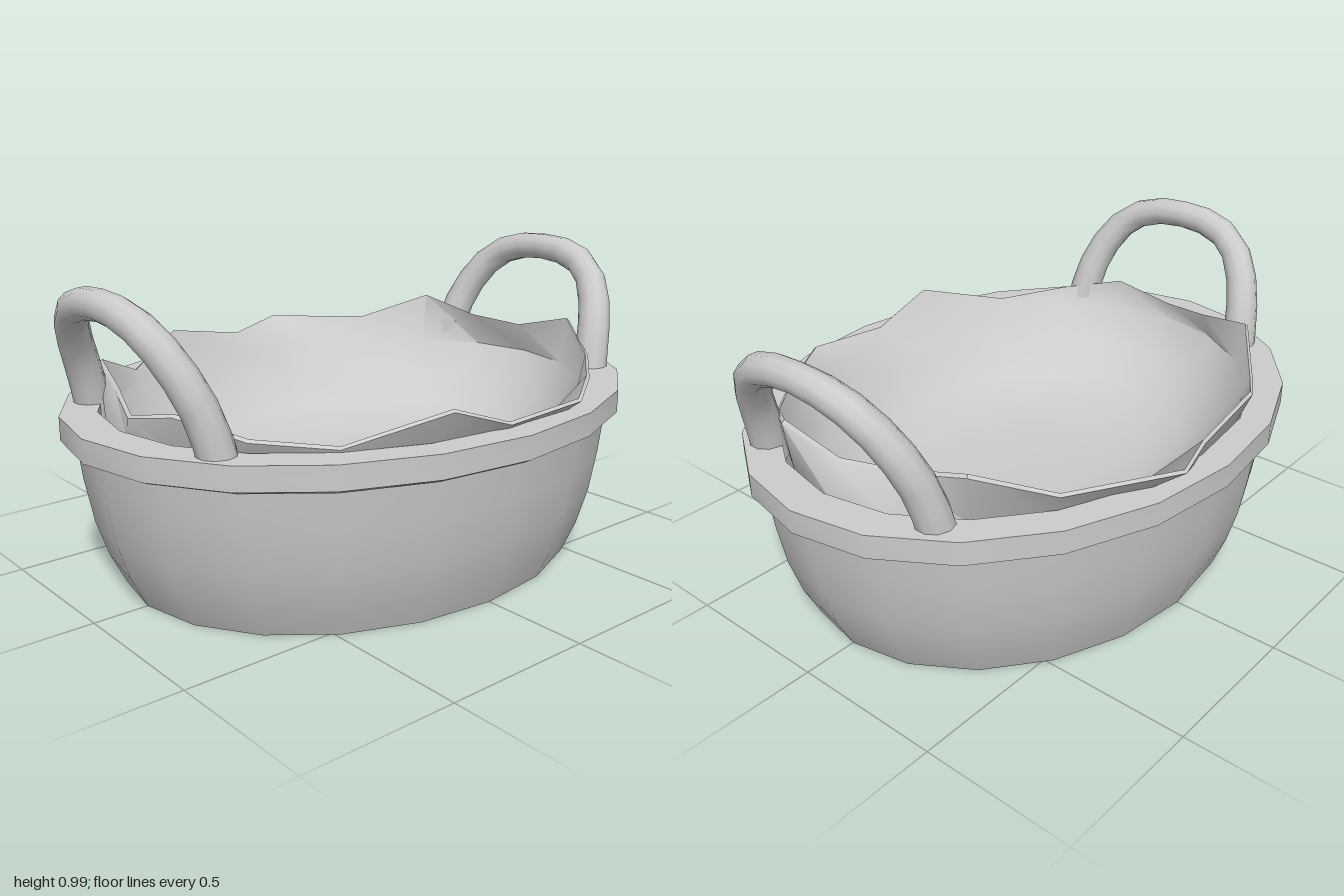
import * as THREE from 'three';
import { toCreasedNormals } from 'three/addons/utils/BufferGeometryUtils.js';

const SIDES = 20;
const WIDTH = 0.79; // oval: x radius relative to z radius
const material = new THREE.MeshStandardMaterial({ color: 0xcccccc });

function part(name, geometry) {
  const mesh = new THREE.Mesh(geometry, material);
  mesh.name = name;
  return mesh;
}

// Oval ring turned from a closed [radius, y] profile
function ovalLathe(profile, crease) {
  const geo = new THREE.LatheGeometry(profile.map(([r, y]) => new THREE.Vector2(r, y)), SIDES);
  geo.scale(WIDTH, 1, 1);
  return toCreasedNormals(geo, crease);
}

// Cloth liner: a thin bowl with a jagged, folded upper edge
function linerGeometry() {
  // [spread, height, sideways shift] of the edge, every 18 degrees from the front towards +x
  const edge = [
    [0.84, 0.61, 0], [0.86, 0.655, 0], [0.88, 0.61, 0], [0.87, 0.585, 0], [0.915, 0.67, 0.2],
    [0.89, 0.59, 0], [0.95, 0.61, 0], [0.88, 0.615, 0], [0.87, 0.63, 0], [0.87, 0.71, 0],
    [0.81, 0.655, 0], [0.8, 0.67, 0], [0.89, 0.72, 0], [0.9, 0.635, 0], [1.0, 0.645, 0.3],
    [0.88, 0.62, 0], [0.91, 0.67, 0], [0.87, 0.585, 0], [0.88, 0.68, 0], [0.81, 0.64, 0],
  ];
  // [radius, y, how far the row follows the edge]
  const bowl = [
    [0, 0.275, 0], [0.28, 0.28, 0], [0.48, 0.295, 0], [0.63, 0.345, 0],
    [0.75, 0.44, 0], [0.845, 0.55, 0], [0.88, 0.63, 1],
  ];
  const under = bowl.map(([r, y, f]) => [r + (r ? 0.012 : 0), y - (f === 1 ? 0.008 : 0.015), f]);
  const rows = [...under, ...bowl.slice().reverse()];
  const geo = new THREE.LatheGeometry(rows.map(([r, y]) => new THREE.Vector2(r, y)), SIDES);
  const pos = geo.attributes.position;
  for (let i = 0; i < pos.count; i++) {
    const seg = Math.floor(i / rows.length) % SIDES;
    const [r, y, follow] = rows[i % rows.length];
    const [spread, height, shift] = edge[seg];
    const radius = r + follow * (spread - 0.88);
    const a = ((seg + follow * shift) / SIDES) * Math.PI * 2;
    pos.setXYZ(i, Math.sin(a) * radius * WIDTH, y + follow * (height - 0.63), Math.cos(a) * radius);
  }
  return toCreasedNormals(geo, 0.8);
}

// Arched handle leaning outwards, thicker towards its feet
function handleGeometry() {
  const half = [[0.36, 0.52, 0.775], [0.345, 0.65, 0.805], [0.31, 0.77, 0.85], [0.225, 0.885, 0.9], [0.11, 0.932, 0.918]];
  const curve = new THREE.CatmullRomCurve3([
    ...half.map(([x, y, z]) => new THREE.Vector3(-x, y, z)),
    new THREE.Vector3(0, 0.942, 0.92),
    ...half.slice().reverse().map(([x, y, z]) => new THREE.Vector3(x, y, z)),
  ]);
  const steps = 14, sides = 10;
  const geo = new THREE.TubeGeometry(curve, steps, 0.047, sides);
  const pos = geo.attributes.position;
  const v = new THREE.Vector3();
  for (let i = 0; i < pos.count; i++) {
    const t = Math.floor(i / (sides + 1)) / steps;
    const centre = curve.getPointAt(t);
    v.fromBufferAttribute(pos, i).sub(centre).multiplyScalar(1 + 0.25 * Math.abs(2 * t - 1)).add(centre);
    pos.setXYZ(i, v.x, v.y, v.z);
  }
  return geo;
}

export function createModel() {
  const model = new THREE.Group();
  model.name = 'basket';

  // Bottomless flared wall, its lower edge bevelled inwards
  model.add(part('basketWall', ovalLathe([
    [0.82, 0], [0.87, 0.1], [0.91, 0.22], [0.937, 0.36], [0.955, 0.5],
    [0.88, 0.5], [0.87, 0.36], [0.845, 0.22], [0.8, 0.12], [0.765, 0.05], [0.82, 0],
  ], 0.6)));

  // Flat rim band with a chamfered lower edge
  model.add(part('rim', ovalLathe([
    [0.88, 0.48], [0.965, 0.48], [1, 0.495], [1, 0.57], [0.88, 0.57], [0.88, 0.48],
  ], 0.6)));

  model.add(part('clothLiner', linerGeometry()));

  // Front and back handles
  const handle = handleGeometry();
  for (const [name, turn] of [['frontHandle', 0], ['backHandle', Math.PI]]) {
    const mesh = part(name, handle);
    mesh.rotation.y = turn;
    mesh.position.x = 0.007;
    model.add(mesh);
  }
  return model;
}
